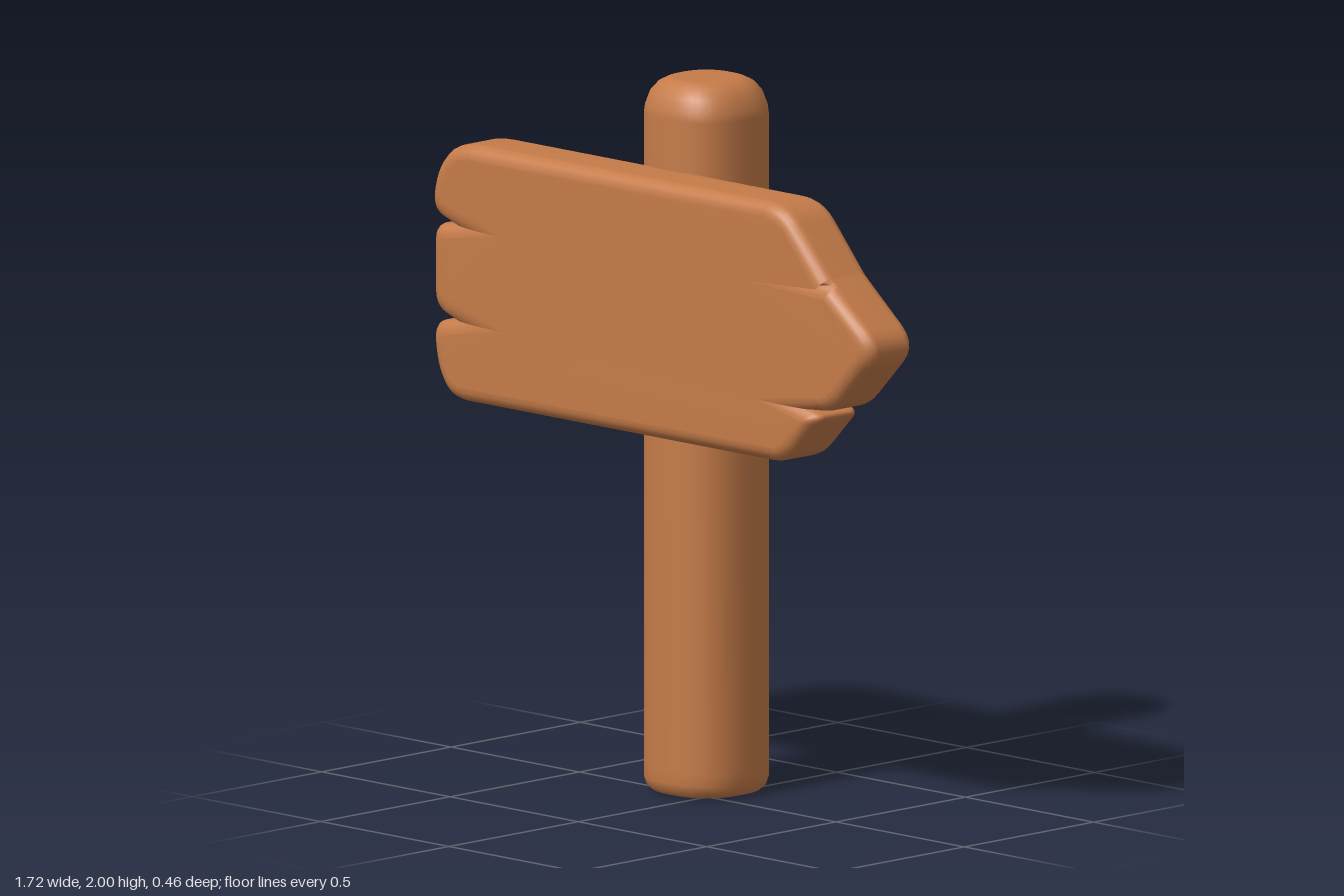
import * as THREE from 'three';
import { mergeVertices } from 'three/addons/utils/BufferGeometryUtils.js';

// Board outline, anticlockwise: x, y, corner radius, how far a crack runs along x on the front face
const OUTLINE = [
  [-0.79, 1.037, 0.06, 0], [0.515, 1.037, 0.06, 0],
  [0.655, 1.185, 0.03, 0], [0.605, 1.2, 0.004, -0.15], [0.70, 1.206, 0.05, 0],
  [0.885, 1.40, 0.08, 0],
  [0.703, 1.552, 0.004, 0], [0.69, 1.563, 0.004, -0.31], [0.677, 1.574, 0.004, 0],
  [0.515, 1.76, 0.07, 0], [-0.77, 1.76, 0.09, 0],
  [-0.845, 1.68, 0.06, 0], [-0.87, 1.555, 0.06, 0], [-0.775, 1.527, 0.004, 0.14],
  [-0.855, 1.522, 0.04, 0], [-0.855, 1.285, 0.05, 0], [-0.775, 1.26, 0.004, 0.14],
  [-0.862, 1.247, 0.05, 0], [-0.845, 1.12, 0.06, 0],
];
const STEPS = 5;

// One rounded cross-section of the board, shrunk by inset, with cracks pulled inward
function ring(inset, crack) {
  const n = OUTLINE.length;
  const dir = (a, b) => new THREE.Vector2(b[0] - a[0], b[1] - a[1]).normalize();
  const corners = OUTLINE.map((p, i) => {
    const d1 = dir(OUTLINE[(i + n - 1) % n], p), d2 = dir(p, OUTLINE[(i + 1) % n]);
    const miter = new THREE.Vector2(-d1.y - d2.y, d1.x + d2.x);
    miter.divideScalar(Math.max(1 + d1.dot(d2), 0.1)).clampLength(0, 1.6);
    return new THREE.Vector2(p[0] + miter.x * inset + p[3] * crack, p[1] + miter.y * inset);
  });
  const points = [];
  corners.forEach((c, i) => {
    const r = Math.max(OUTLINE[i][2] - inset * 0.5, 0.004);
    const toward = (q) => {
      const v = q.clone().sub(c);
      return c.clone().add(v.setLength(Math.min(r, v.length() * 0.45)));
    };
    const curve = new THREE.QuadraticBezierCurve(
      toward(corners[(i + n - 1) % n]), c, toward(corners[(i + 1) % n]));
    points.push(...curve.getPoints(STEPS));
  });
  return points;
}

function boardGeometry(back, front, bevel) {
  const rings = [];
  for (let k = 0; k <= 5; k++) {
    const a = (k / 5) * Math.PI / 2;
    rings.push({ z: back + bevel * (1 - Math.sin(a)), points: ring(bevel * (1 - Math.cos(a)), 0) });
  }
  rings.reverse();
  // the list now starts at the wall, so order it from the back face forward
  rings.sort((p, q) => p.z - q.z);
  for (let k = 0; k <= 5; k++) {
    const a = (k / 5) * Math.PI / 2;
    rings.push({
      z: front - bevel * (1 - Math.sin(a)),
      points: ring(bevel * (1 - Math.cos(a)), Math.sin(a) ** 3 * (1 - Math.cos(a))),
    });
  }
  const n = rings[0].points.length, position = [], index = [];
  rings.forEach(({ z, points }) => points.forEach((p) => position.push(p.x, p.y, z)));
  for (let k = 0; k < rings.length - 1; k++) {
    for (let i = 0; i < n; i++) {
      const a = k * n + i, b = k * n + (i + 1) % n;
      index.push(a, b, b + n, a, b + n, a + n);
    }
  }
  const last = (rings.length - 1) * n;
  THREE.ShapeUtils.triangulateShape(rings[0].points, []).forEach(([a, b, c]) => index.push(c, b, a));
  THREE.ShapeUtils.triangulateShape(rings[rings.length - 1].points, [])
    .forEach(([a, b, c]) => index.push(last + a, last + b, last + c));
  const geometry = new THREE.BufferGeometry();
  geometry.setAttribute('position', new THREE.Float32BufferAttribute(position, 3));
  geometry.setIndex(index);
  geometry.computeVertexNormals();
  return geometry;
}

// Slightly squared round post with softened ends
function postGeometry(radius, height) {
  const profile = [[0, 0.005], [radius - 0.04, 0.005], [radius - 0.022, 0.009], [radius - 0.007, 0.022],
    [radius, 0.045], [radius, 0.08], [radius, height - 0.1], [radius - 0.003, height - 0.075],
    [radius - 0.016, height - 0.038], [radius - 0.037, height - 0.014], [radius - 0.06, height - 0.002],
    [radius - 0.075, height], [0, height]].map(([x, y]) => new THREE.Vector2(x, y));
  let geometry = new THREE.LatheGeometry(profile, 48);
  const pos = geometry.attributes.position;
  for (let i = 0; i < pos.count; i++) {
    const x = pos.getX(i), z = pos.getZ(i), r = Math.hypot(x, z);
    if (r < 1e-6) continue;
    const k = Math.pow(Math.abs(x / r) ** 2.5 + Math.abs(z / r) ** 2.5, -1 / 2.5);
    pos.setXYZ(i, x * k, pos.getY(i), z * k);
  }
  geometry.deleteAttribute('uv');
  geometry.deleteAttribute('normal');
  geometry = mergeVertices(geometry, 1e-5);
  geometry.computeVertexNormals();
  return geometry;
}

export function createModel() {
  const wood = new THREE.MeshStandardMaterial({ color: 0xc57b49 });
  wood.name = 'warm wood';
  const model = new THREE.Group();
  model.name = 'signpost';

  const post = new THREE.Mesh(postGeometry(0.16, 2), wood);
  post.name = 'post';
  post.position.set(-0.078, 0, -0.072);

  const board = new THREE.Mesh(boardGeometry(0.043, 0.226, 0.04), wood);
  board.name = 'arrowBoard';

  model.add(post, board);
  return model;
}
